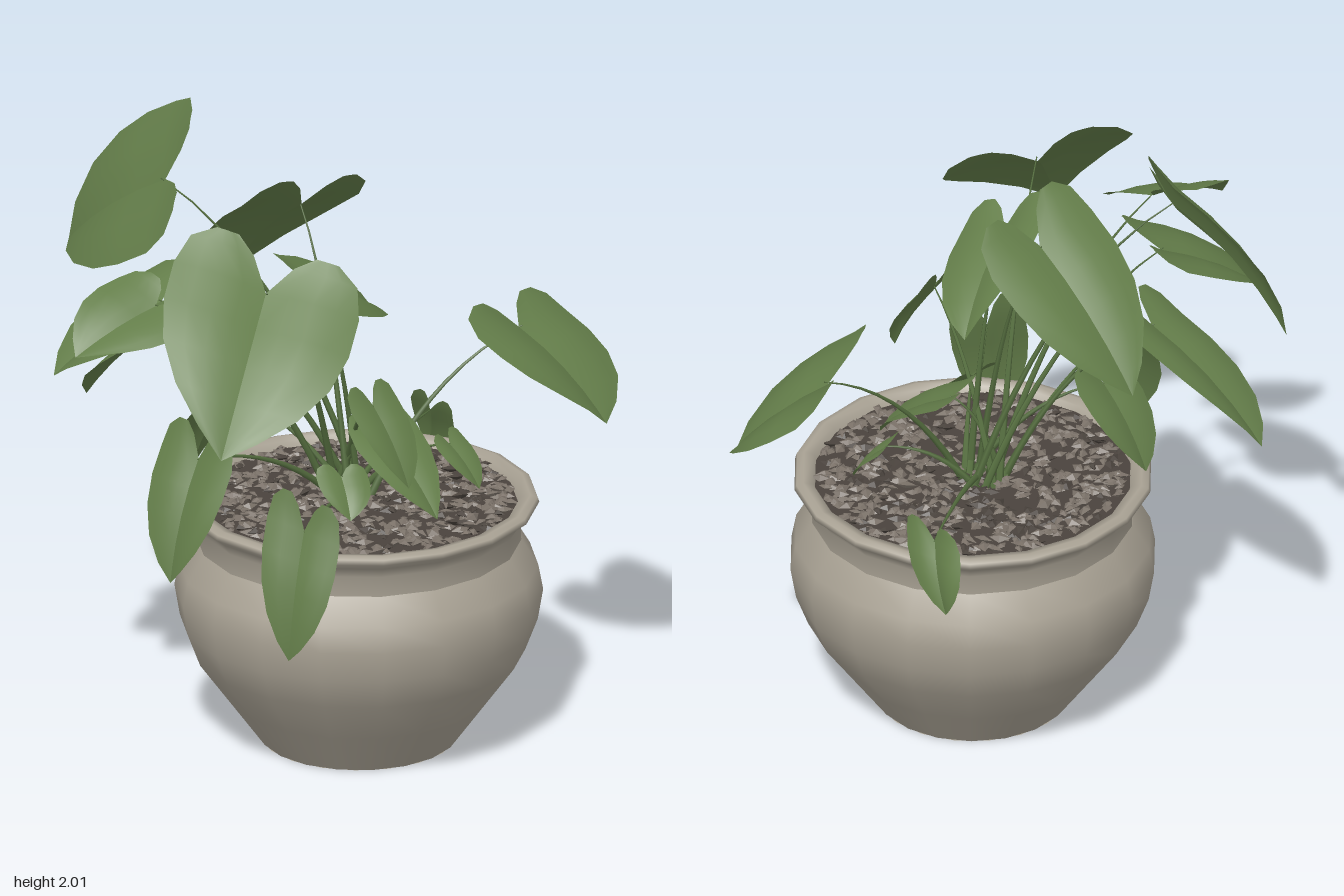
import * as THREE from 'three';
import { mergeGeometries } from 'three/addons/utils/BufferGeometryUtils.js';

const mat = (name, color, side = THREE.FrontSide) => {
  const m = new THREE.MeshStandardMaterial({ color, side });
  m.name = name;
  return m;
};

// Half-leaf cross-sections: position along the leaf, inner and outer half width
const ROWS = [
  [-0.23, 0.42, 0.66], [-0.15, 0.22, 0.9], [0.02, 0, 1], [0.25, 0, 1],
  [0.48, 0, 0.9], [0.7, 0, 0.66], [0.88, 0, 0.32], [1, 0, 0],
];
const COLS = 4;

// Heart-shaped blade spanned by its left side, right side and tip
function leafGeometry(left, right, tip) {
  const mid = left.clone().add(right).multiplyScalar(0.5);
  const across = right.clone().sub(left).multiplyScalar(0.5);
  const along = tip.clone().sub(mid);
  const up = new THREE.Vector3().crossVectors(along, across).normalize();
  if (up.y < 0) up.negate();
  const pos = [], index = [];
  for (const side of [-1, 1]) {
    const start = pos.length / 3;
    for (const [v, inner, outer] of ROWS) {
      for (let c = 0; c <= COLS; c++) {
        const u = inner + (outer - inner) * c / COLS;
        const arch = 0.22 * along.length() * Math.max(0, v) * (1 - v);
        const cup = across.length() * (0.35 * u * (1 - u) - 0.06 * (1 - u));
        const p = mid.clone().addScaledVector(across, side * u)
          .addScaledVector(along, v).addScaledVector(up, arch + cup);
        pos.push(p.x, p.y, p.z);
      }
    }
    for (let r = 0; r < ROWS.length - 1; r++) {
      for (let c = 0; c < COLS; c++) {
        const a = start + r * (COLS + 1) + c, b = a + 1;
        const d = a + COLS + 1, e = d + 1;
        if (side > 0) index.push(a, d, b, b, d, e);
        else index.push(a, b, d, b, e, d);
      }
    }
  }
  const g = new THREE.BufferGeometry();
  g.setAttribute('position', new THREE.Float32BufferAttribute(pos, 3));
  g.setIndex(index);
  g.computeVertexNormals();
  return g;
}

// Arched stalk that thins toward the leaf
function stalkGeometry(from, to) {
  const bend = from.clone().lerp(to, 0.4);
  bend.y = from.y + (to.y - from.y) * 0.72 + 0.04;
  const curve = new THREE.QuadraticBezierCurve3(from, bend, to);
  const segs = 10, sides = 5;
  const g = new THREE.TubeGeometry(curve, segs, 0.013, sides);
  const p = g.attributes.position, v = new THREE.Vector3();
  for (let i = 0; i < p.count; i++) {
    const t = Math.floor(i / (sides + 1)) / segs;
    const centre = curve.getPointAt(t);
    v.fromBufferAttribute(p, i).sub(centre).multiplyScalar(1 - 0.85 * t).add(centre);
    p.setXYZ(i, v.x, v.y, v.z);
  }
  return g;
}

// Left side, right side and tip of each leaf
const LEAVES = [
  [[-0.38, 1.63, -0.22], [-0.01, 1.97, -0.43], [-0.16, 1.47, -0.77]], // top
  [[-0.1, 1.74, -0.08], [0.33, 1.68, 0.02], [0.21, 1.33, -0.43]],     // back
  [[-0.55, 1.73, 0.04], [-0.24, 1.57, 0.53], [-0.8, 1.25, 0.46]],     // large side
  [[0.33, 1.33, 0.5], [0.82, 1.26, 0.42], [0.68, 1.01, 0.74]],        // large front
  [[-0.54, 1.6, -0.2], [-0.52, 1.5, 0.1], [-0.82, 1.44, -0.13]],      // outer side
  [[-0.25, 1.5, -0.34], [-0.48, 1.47, -0.02], [-0.64, 1.26, -0.39]],  // back side
  [[-0.13, 1.63, 0.09], [-0.11, 1.5, 0.38], [0.24, 1.36, 0.17]],      // middle
  [[-0.31, 1.31, -0.28], [0.0, 1.4, -0.26], [-0.2, 1.0, -0.65]],      // low back
  [[-0.52, 0.97, 0.4], [-0.43, 0.9, 0.62], [-0.56, 0.52, 0.52]],      // hanging side
  [[0.61, 0.88, 0.15], [0.66, 0.88, -0.07], [0.72, 0.68, -0.05]],     // hanging opposite
  [[-0.24, 1.25, 0.49], [-0.05, 1.25, 0.51], [-0.13, 1.0, 0.64]],     // mid front
  [[-0.21, 0.98, 0.32], [-0.06, 0.96, 0.4], [-0.19, 0.86, 0.45]],     // small front
  [[-0.03, 1.02, 0.32], [0.24, 1.07, 0.26], [0.08, 0.82, 0.57]],      // low middle
  [[0.26, 0.95, 0.4], [0.4, 0.95, 0.38], [0.35, 0.82, 0.5]],          // small right
  [[-0.24, 1.1, -0.14], [0.0, 1.12, -0.1], [-0.12, 0.83, -0.28]],     // low rear
  [[-0.46, 1.06, -0.09], [-0.46, 1.04, 0.2], [-0.6, 0.67, 0.06]],     // low side
];

export function createModel() {
  const model = new THREE.Group();
  model.name = 'pottedPlant';
  const clay = mat('clay', 0xa9a294, THREE.DoubleSide);
  const soilDark = mat('darkSoil', 0x4a433d);
  const pebble = mat('pebble', 0x7a7168);
  const leafGreen = mat('leafGreen', 0x647e4a, THREE.DoubleSide);
  const stalkGreen = mat('stalkGreen', 0x566f40);
  const add = (parent, name, geometry, material) => {
    const m = new THREE.Mesh(geometry, material);
    m.name = name;
    parent.add(m);
    return m;
  };

  // Pot
  const pot = new THREE.Group();
  pot.name = 'pot';
  pot.position.set(0.105, 0, 0.215);
  model.add(pot);
  const lathe = (pts) => new THREE.LatheGeometry(pts.map(([r, y]) => new THREE.Vector2(r, y)), 18);
  add(pot, 'potBody', lathe([[0.305, 0], [0.41, 0.145], [0.515, 0.29], [0.553, 0.39],
    [0.57, 0.49], [0.555, 0.57], [0.503, 0.655]]), clay);
  add(pot, 'potRim', lathe([[0.5, 0.65], [0.503, 0.72], [0.525, 0.755], [0.558, 0.78],
    [0.552, 0.795], [0.53, 0.802], [0.5, 0.795], [0.485, 0.75]]), clay);
  const base = add(pot, 'potBase', new THREE.CircleGeometry(0.305, 18), clay);
  base.rotation.x = Math.PI / 2;

  // Soil with scattered flat chips
  const soil = add(pot, 'soil', new THREE.CircleGeometry(0.5, 18), soilDark);
  soil.rotation.x = -Math.PI / 2;
  soil.position.y = 0.775;
  let seed = 7;
  const rand = () => (seed = (seed * 16807) % 2147483647) / 2147483647;
  const chips = [[], []];
  for (let i = 0; i < 800; i++) {
    const r = 0.475 * Math.sqrt(rand()), a = rand() * Math.PI * 2;
    const g = new THREE.OctahedronGeometry(0.02 + 0.014 * rand());
    g.scale(1, 0.35, 0.6);
    g.rotateX((rand() - 0.5) * 1.0);
    g.rotateY(rand() * Math.PI * 2);
    g.translate(r * Math.cos(a), 0.78 + 0.014 * rand(), r * Math.sin(a));
    chips[i % 4 < 3 ? 0 : 1].push(g);
  }
  add(pot, 'lightChips', mergeGeometries(chips[0]), pebble);
  add(pot, 'darkChips', mergeGeometries(chips[1]), soilDark);

  // Leaves, each on its own stalk
  LEAVES.forEach((corners, i) => {
    const [left, right, tip] = corners.map((c) => new THREE.Vector3(...c));
    const plant = new THREE.Group();
    plant.name = 'leafStem' + (i + 1);
    model.add(plant);
    add(plant, 'leaf', leafGeometry(left, right, tip), leafGreen);
    const joint = left.clone().add(right).multiplyScalar(0.5).lerp(tip, 0.03);
    const a = i * 2.4;
    const root = new THREE.Vector3(0.1 + 0.06 * Math.cos(a), 0.77, 0.18 + 0.06 * Math.sin(a));
    add(plant, 'stalk', stalkGeometry(root, joint), stalkGreen);
  });
  return model;
}
